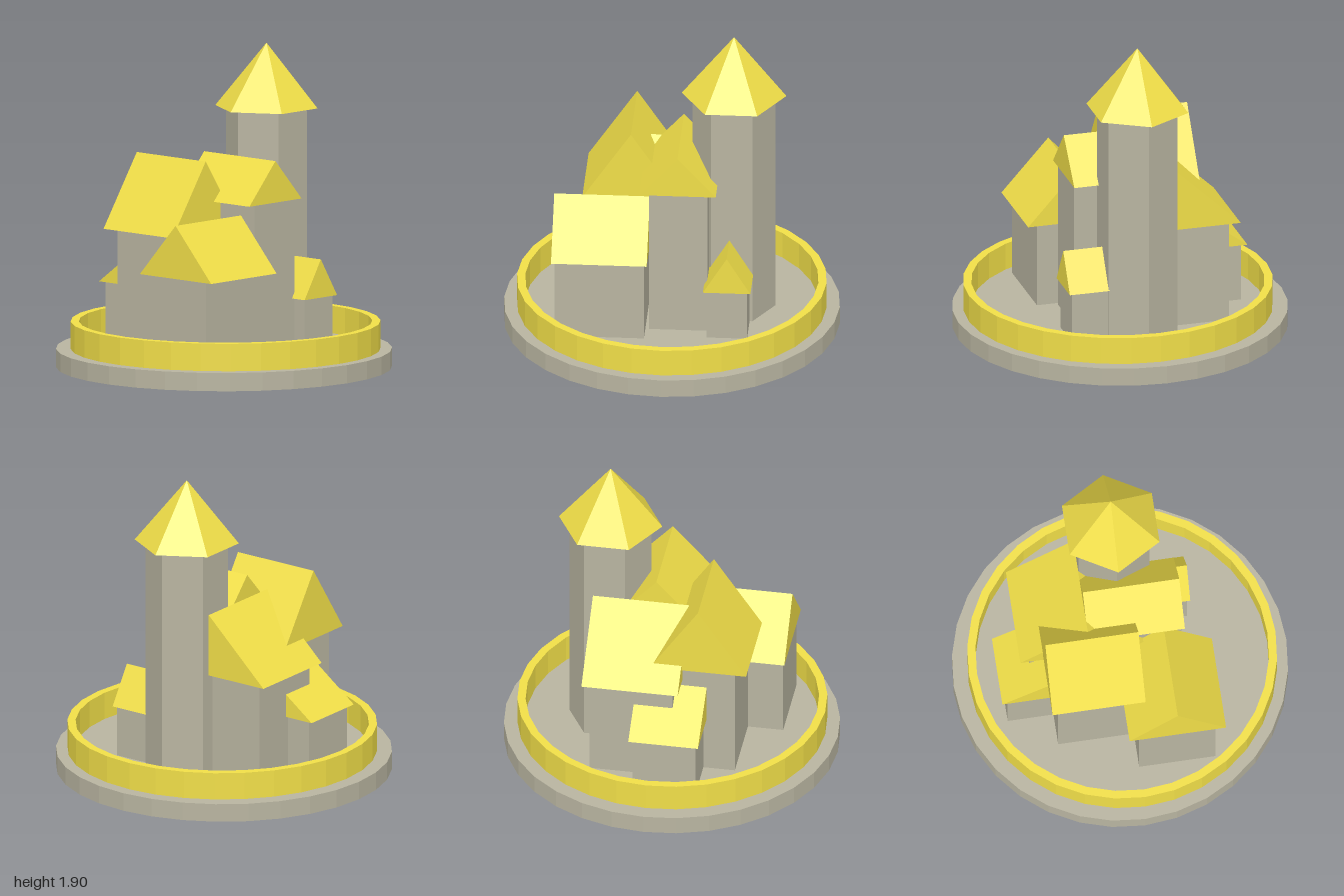
import * as THREE from 'three';

const stone = new THREE.MeshStandardMaterial({ color: 0xb8b4a0, flatShading: true });
const yellow = new THREE.MeshStandardMaterial({ color: 0xf0de48, flatShading: true });
const FLOOR = 0.11;

function add(parent, name, geometry, material, x = 0, y = 0, z = 0) {
  const mesh = new THREE.Mesh(geometry, material);
  mesh.name = name;
  mesh.position.set(x, y, z);
  parent.add(mesh);
  return mesh;
}

// Box walls under a closed triangular-prism roof; x and z are the roof's extents
function addHouse(parent, { name, x, z, eave, top, ridge, wallX, wallZ }) {
  const house = new THREE.Group();
  house.name = name;
  parent.add(house);

  const wallHeight = eave - FLOOR;
  add(house, 'walls', new THREE.BoxGeometry(wallX[1] - wallX[0], wallHeight, wallZ[1] - wallZ[0]), stone,
    (wallX[0] + wallX[1]) / 2, FLOOR + wallHeight / 2, (wallZ[0] + wallZ[1]) / 2);

  const sizeX = x[1] - x[0], sizeZ = z[1] - z[0];
  const span = ridge === 'z' ? sizeX : sizeZ;
  const length = ridge === 'z' ? sizeZ : sizeX;
  const gable = new THREE.Shape([
    new THREE.Vector2(-span / 2, 0),
    new THREE.Vector2(span / 2, 0),
    new THREE.Vector2(0, top - eave),
  ]);
  const prism = new THREE.ExtrudeGeometry(gable, { depth: length, bevelEnabled: false });
  prism.translate(0, 0, -length / 2);
  if (ridge === 'x') prism.rotateY(Math.PI / 2);
  add(house, 'roof', prism, yellow, (x[0] + x[1]) / 2, eave, (z[0] + z[1]) / 2);
}

export function createModel() {
  const model = new THREE.Group();
  model.name = 'walledVillage';

  // Round base
  add(model, 'base', new THREE.CylinderGeometry(1, 1, FLOOR, 32), stone, 0, FLOOR / 2, 0);

  // Ring wall, a closed rectangular section turned around the axis
  const section = [[0.873, 0], [0.922, 0], [0.922, 0.165], [0.873, 0.165], [0.873, 0]];
  add(model, 'ringWall', new THREE.LatheGeometry(section.map(([r, y]) => new THREE.Vector2(r, y)), 32),
    yellow, 0.013, FLOOR, 0);

  // Six-sided tower
  const tower = new THREE.Group();
  tower.name = 'tower';
  tower.position.set(0, 0, -0.37);
  model.add(tower);
  add(tower, 'shaft', new THREE.CylinderGeometry(0.247, 0.247, 1.41, 6), stone, 0, FLOOR + 0.705, 0);
  add(tower, 'spire', new THREE.ConeGeometry(0.312, 0.385, 6), yellow, 0, 1.7125, 0);

  // Houses clustered in front of the tower
  const houses = [
    { name: 'tallFrontHouse', x: [-0.485, 0.075], z: [-0.05, 0.53], eave: 0.835, top: 1.265, ridge: 'x',
      wallX: [-0.44, 0.015], wallZ: [0.02, 0.455] },
    { name: 'lowFrontHouse', x: [-0.045, 0.535], z: [0.115, 0.685], eave: 0.625, top: 0.945, ridge: 'z',
      wallX: [0.015, 0.475], wallZ: [0.135, 0.668] },
    { name: 'centreHouse', x: [-0.215, 0.365], z: [-0.285, 0.17], eave: 1.015, top: 1.265, ridge: 'x',
      wallX: [-0.205, 0.352], wallZ: [-0.235, 0.113] },
    { name: 'wideSideHouse', x: [-0.62, 0.19], z: [-0.44, 0.14], eave: 0.74, top: 1.12, ridge: 'z',
      wallX: [-0.56, 0.13], wallZ: [-0.4, 0.1] },
    { name: 'smallBackHouse', x: [0.14, 0.455], z: [-0.498, -0.215], eave: 0.42, top: 0.65, ridge: 'x',
      wallX: [0.16, 0.437], wallZ: [-0.477, -0.235] },
    { name: 'smallSideHouse', x: [-0.75, -0.13], z: [-0.135, 0.285], eave: 0.465, top: 0.695, ridge: 'z',
      wallX: [-0.715, -0.165], wallZ: [-0.115, 0.265] },
  ];
  houses.forEach((spec) => addHouse(model, spec));

  return model;
}
